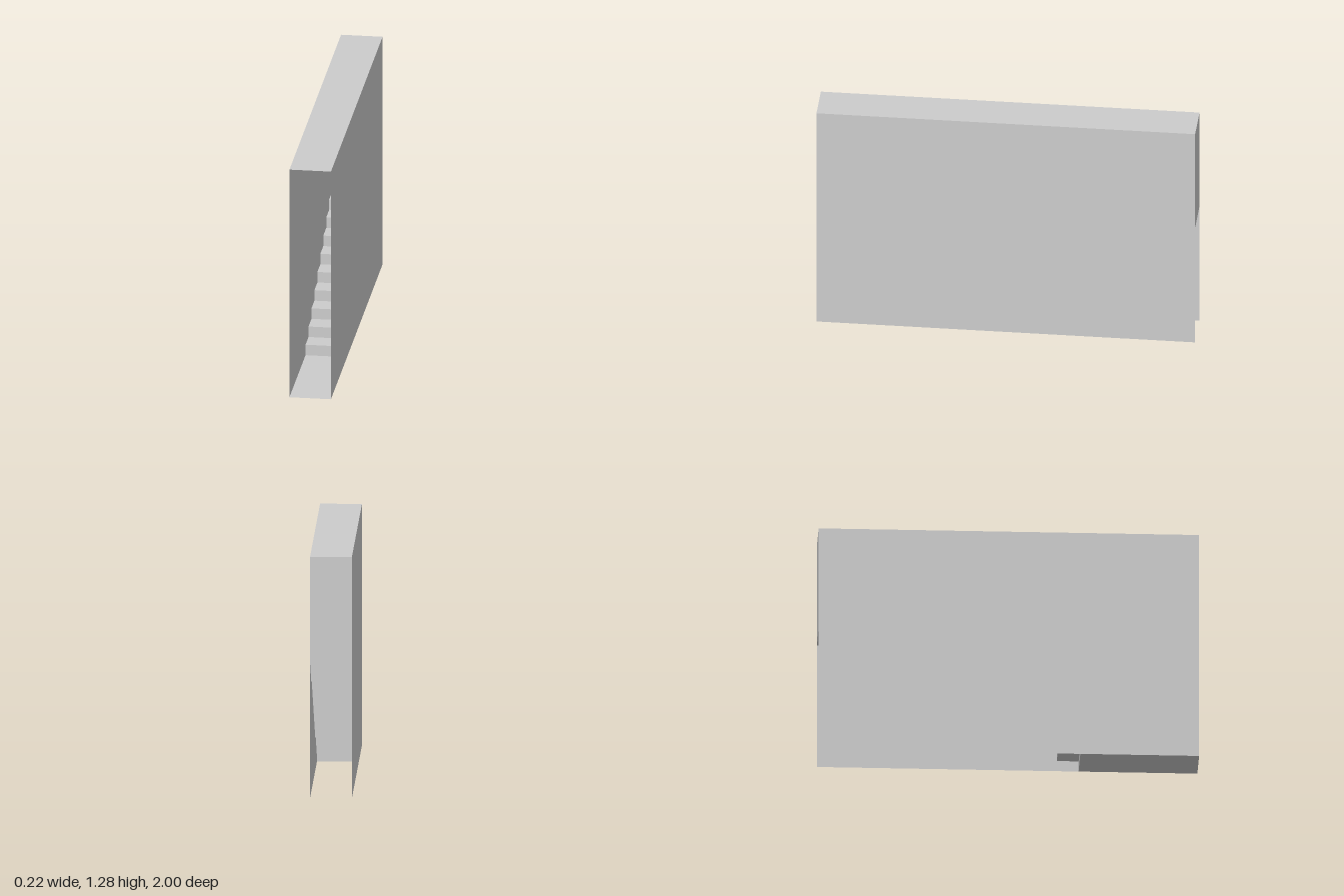
import * as THREE from 'three';

const W = 0.22, H = 1.28, STEPS = 12;
const STAIR_TOP = 0.705, FLOOR_END = 0.376;
const RISE = STAIR_TOP / STEPS, RUN = (FLOOR_END + 1) / STEPS;

export function createModel() {
  const model = new THREE.Group();
  model.name = 'stairPassage';
  const grey = new THREE.MeshStandardMaterial({ color: 0xcccccc, side: THREE.DoubleSide });
  grey.name = 'plain grey';

  const panel = (name, w, h, position, rotation, parent = model) => {
    const mesh = new THREE.Mesh(new THREE.PlaneGeometry(w, h), grey);
    mesh.name = name;
    mesh.position.set(...position);
    mesh.rotation.set(...rotation);
    parent.add(mesh);
  };
  const UP = [-Math.PI / 2, 0, 0], FRONT = [0, 0, 0], BACK = [0, Math.PI, 0];

  // Full-height side walls
  for (const s of [-1, 1]) {
    panel(s > 0 ? 'leftWall' : 'rightWall', 2, H, [s * W / 2, H / 2, 0], [0, s * Math.PI / 2, 0]);
  }

  // Ceiling, entry floor and the wall above the top step
  panel('ceiling', W, 2, [0, H, 0], UP);
  panel('entryFloor', W, 1 - FLOOR_END, [0, 0, (1 + FLOOR_END) / 2], UP);
  panel('backWall', W, H - STAIR_TOP, [0, (H + STAIR_TOP) / 2, -1], BACK);

  // Folded stair, open underneath, rising towards the back
  const stairs = new THREE.Group();
  stairs.name = 'stairs';
  for (let i = 0; i < STEPS; i++) {
    const z = FLOOR_END - i * RUN;
    panel('riser', W, RISE, [0, (i + 0.5) * RISE, z], FRONT, stairs);
    panel('tread', W, RUN, [0, (i + 1) * RISE, z - RUN / 2], UP, stairs);
  }
  model.add(stairs);
  return model;
}
